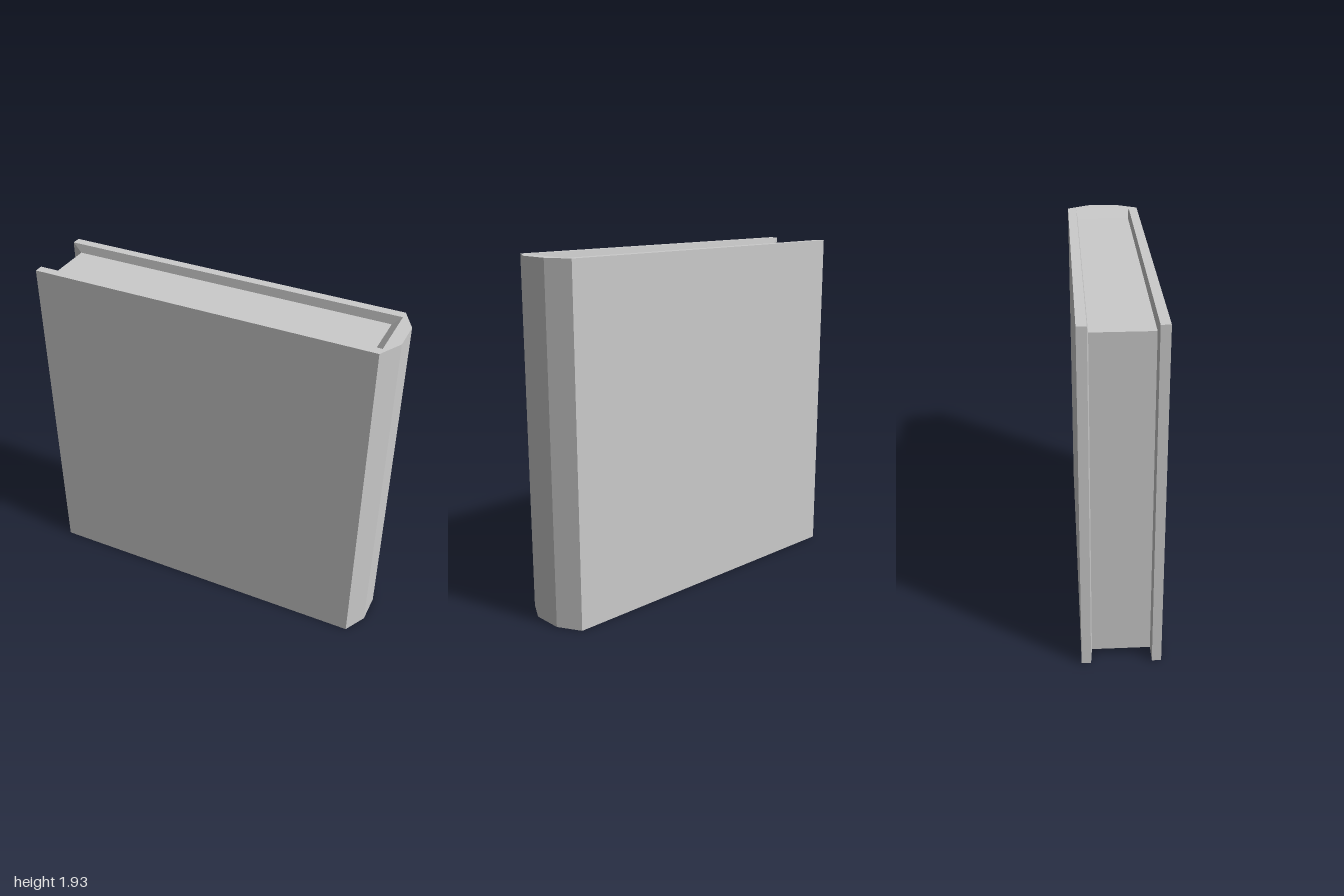
import * as THREE from 'three';

// Half height of the cover, and of the page block
const H = 0.967, PH = 0.917;
// Half thicknesses: cover outside, cover inside, page block, flat of the spine
const T = 0.213, R = 0.163, P = 0.156, S = 0.085;
// Positions along x: fore-edge of cover and pages, inner spine at pages and rim, outer spine
const X0 = -1, PX0 = -0.95, PX1 = 0.88, XB = 0.93, X1 = 1;

const material = new THREE.MeshStandardMaterial({ color: 0xcccccc, flatShading: true });

// Mirrors the quads of one upper front quarter over y and z into a whole part
function mirroredPart(name, quads) {
  const pos = [];
  for (const sy of [1, -1]) {
    for (const sz of [1, -1]) {
      for (const quad of quads) {
        const q = quad.map(([x, y, z]) => [x, y * sy, z * sz]);
        if (sy * sz < 0) q.reverse(); // keep faces pointing outward
        for (const i of [0, 1, 2, 0, 2, 3]) pos.push(...q[i]);
      }
    }
  }
  const geometry = new THREE.BufferGeometry();
  geometry.setAttribute('position', new THREE.Float32BufferAttribute(pos, 3));
  geometry.computeVertexNormals();
  const mesh = new THREE.Mesh(geometry, material);
  mesh.name = name;
  mesh.position.y = H;
  return mesh;
}

export function createModel() {
  const book = new THREE.Group();
  book.name = 'book';

  // Cover boards: outer face, rim and fore-edge strip
  book.add(mirroredPart('coverBoards', [
    [[X0, 0, T], [XB, 0, T], [XB, H, T], [X0, H, T]],
    [[X0, H, T], [XB, H, T], [XB, H, R], [X0, H, R]],
    [[X0, 0, R], [X0, 0, T], [X0, H, T], [X0, H, R]],
  ]));

  // Faceted spine: chamfer, flat back and end cap
  book.add(mirroredPart('spine', [
    [[XB, 0, T], [X1, 0, S], [X1, H, S], [XB, H, T]],
    [[X1, 0, S], [X1, 0, 0], [X1, H, 0], [X1, H, S]],
    [[XB, H, T], [X1, H, S], [X1, H, 0], [XB, H, 0]],
  ]));

  // Sloping inner lining between the cover rim and the pages
  book.add(mirroredPart('coverLining', [
    [[X0, H, R], [XB, H, R], [PX1, PH, P], [PX0, PH, P]],
    [[PX1, PH, P], [XB, H, R], [XB, H, 0], [PX1, PH, 0]],
    [[PX0, 0, P], [X0, 0, R], [X0, H, R], [PX0, PH, P]],
  ]));

  // Recessed page block: top and bottom edges, fore-edge
  book.add(mirroredPart('pages', [
    [[PX0, PH, P], [PX1, PH, P], [PX1, PH, 0], [PX0, PH, 0]],
    [[PX0, 0, 0], [PX0, 0, P], [PX0, PH, P], [PX0, PH, 0]],
  ]));

  return book;
}
